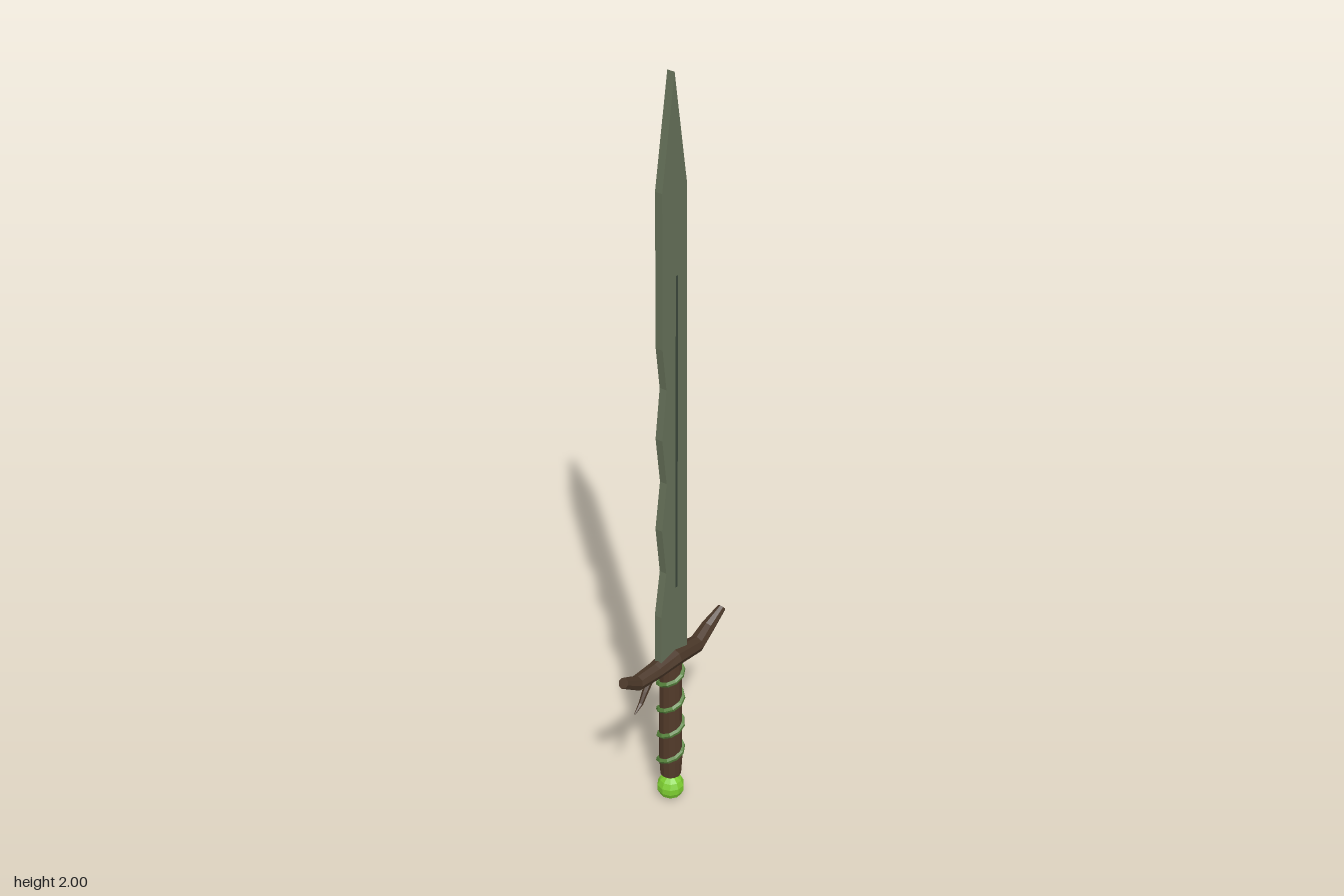
import * as THREE from 'three';

const paint = (name, color) => {
  const m = new THREE.MeshStandardMaterial({ color, flatShading: true });
  m.name = name;
  return m;
};

// Loft through stations [x, y, z, radius in the xy plane, radius along z]; the path lies mostly in xy.
function loft(stations, sides) {
  const pos = [], index = [], n = stations.length;
  stations.forEach(([x, y, z, r, rz], i) => {
    const a = stations[Math.max(i - 1, 0)], b = stations[Math.min(i + 1, n - 1)];
    const len = Math.hypot(b[0] - a[0], b[1] - a[1]);
    const nx = -(b[1] - a[1]) / len, ny = (b[0] - a[0]) / len;
    for (let s = 0; s < sides; s++) {
      const t = (s / sides) * Math.PI * 2, c = Math.cos(t) * r;
      pos.push(x + nx * c, y + ny * c, z + Math.sin(t) * rz);
    }
  });
  for (let i = 0; i < n - 1; i++) {
    for (let s = 0; s < sides; s++) {
      const a = i * sides + s, b = i * sides + ((s + 1) % sides);
      index.push(a, b, a + sides, b, b + sides, a + sides);
    }
  }
  // end caps
  const e = (n - 1) * sides;
  for (let s = 1; s < sides - 1; s++) index.push(0, s + 1, s, e, e + s, e + s + 1);
  const g = new THREE.BufferGeometry();
  g.setAttribute('position', new THREE.Float32BufferAttribute(pos, 3));
  g.setIndex(index);
  g.computeVertexNormals();
  return g;
}

export function createModel() {
  const sword = new THREE.Group();
  sword.name = 'sword';
  const steel = paint('mossy steel', 0x657058);
  const groove = paint('dark groove', 0x3a463a);
  const wood = paint('bark wood', 0x4a3728);
  const gripWood = paint('grip wood', 0x523a2a);
  const vineGreen = paint('vine green', 0x56823c);
  const gem = paint('bright green', 0x7ccc30);
  const CX = -0.01, CZ = -0.002;

  const add = (name, geometry, material, x = 0, y = 0, z = 0) => {
    const mesh = new THREE.Mesh(geometry, material);
    mesh.name = name;
    mesh.position.set(x, y, z);
    sword.add(mesh);
  };

  // Blade: straight right edge, wavy left edge
  const outline = [
    [-0.063, 0.45], [0.041, 0.45], [0.034, 1.73], [CX, 2], [-0.054, 1.73], [-0.054, 1.34],
    [-0.04, 1.23], [-0.056, 1.1], [-0.04, 0.975], [-0.058, 0.85], [-0.042, 0.72], [-0.062, 0.6],
  ].map(([x, y]) => new THREE.Vector2(x, y));
  add('blade', new THREE.ExtrudeGeometry(new THREE.Shape(outline), { depth: 0.02, bevelEnabled: false }), steel, 0, 0, -0.01);
  add('bladeGroove', new THREE.BoxGeometry(0.007, 0.85, 0.002), groove, -0.002, 1.085, 0.0098);

  // Crossguard: a bent branch
  add('crossguard', loft([
    [-0.199, 0.479, 0, 0.014, 0.014],
    [-0.14, 0.441, -0.006, 0.019, 0.02],
    [-0.075, 0.443, 0, 0.021, 0.024],
    [CX, 0.451, 0.005, 0.024, 0.029],
    [0.095, 0.427, -0.001, 0.021, 0.023],
    [0.15, 0.447, -0.007, 0.017, 0.019],
    [0.2, 0.481, -0.001, 0.011, 0.011],
  ], 8), wood);

  // Small twig under the guard
  add('twig', loft([
    [-0.156, 0.358, 0, 0.002, 0.002],
    [-0.132, 0.376, 0, 0.006, 0.006],
    [-0.115, 0.402, 0, 0.008, 0.008],
    [-0.095, 0.43, 0, 0.01, 0.01],
  ], 6), wood);

  // Grip, narrowing a little at the foot
  const profile = [[0, 0.08], [0.027, 0.08], [0.03, 0.13], [0.028, 0.435]].map(([r, y]) => new THREE.Vector2(r, y));
  add('grip', new THREE.LatheGeometry(profile, 12), gripWood, CX, 0, CZ);

  // Vine spiralling up the grip
  const coil = [];
  for (let i = 0; i <= 48; i++) {
    const y = 0.09 + (i / 48) * 0.335, t = ((y - 0.155) / 0.081) * Math.PI * 2;
    coil.push(new THREE.Vector3(CX + 0.031 * Math.sin(t), y, CZ + 0.031 * Math.cos(t)));
  }
  add('vine', new THREE.TubeGeometry(new THREE.CatmullRomCurve3(coil), 40, 0.007, 5), vineGreen);

  // Pommel
  add('pommel', new THREE.SphereGeometry(0.036, 10, 7), gem, CX, 0.037, CZ);

  return sword;
}
